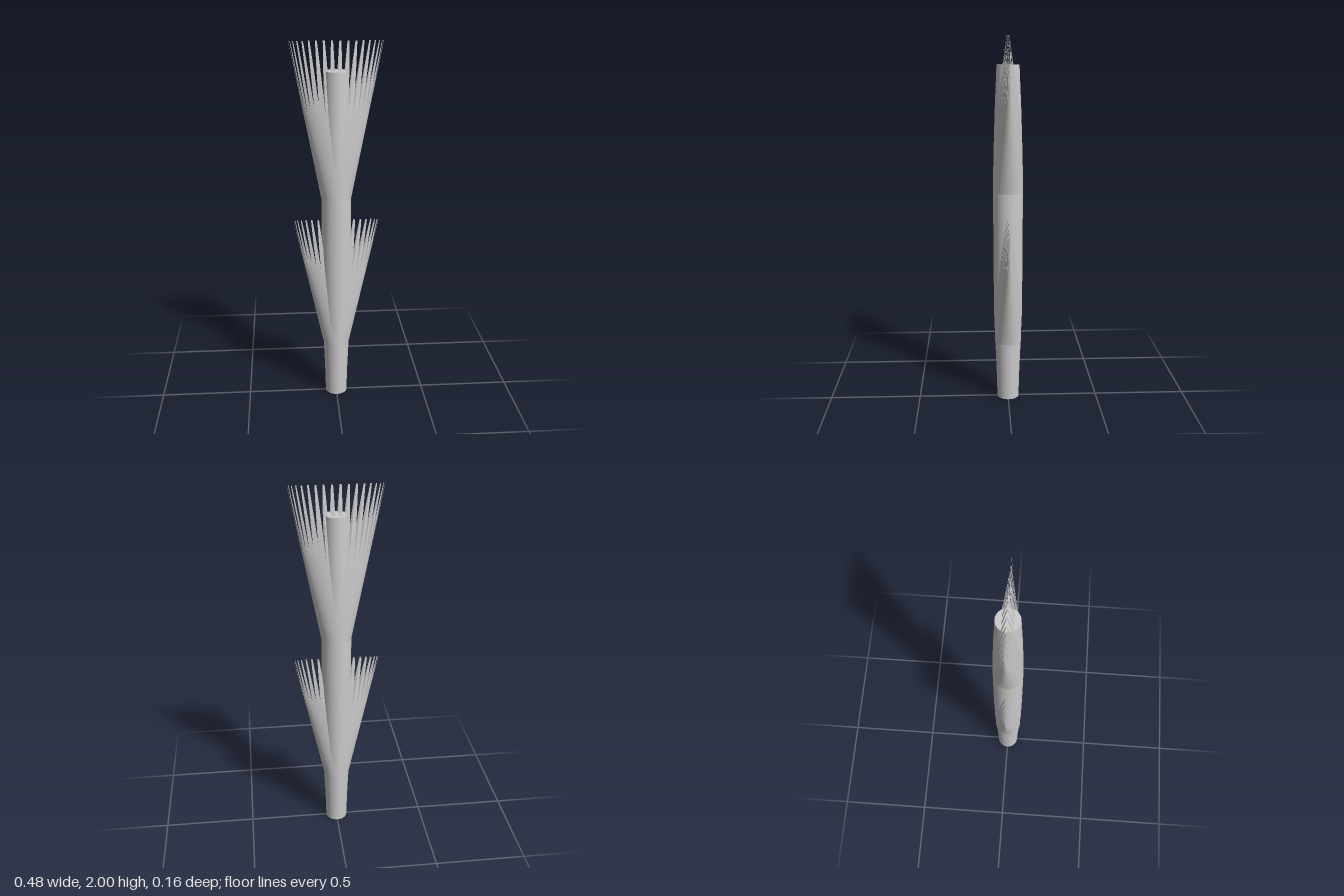
import * as THREE from 'three';
import { mergeVertices } from 'three/addons/utils/BufferGeometryUtils.js';

const grey = new THREE.MeshStandardMaterial({ color: 0xcccccc, side: THREE.DoubleSide });

// Sleeve that is round at its base, flattens and widens upward, and splits into tines
function flaredSleeve({ y0, y1, r, spread, endDepth, slit }) {
  const tines = 36, rows = 24, cols = 2;
  const pos = [], index = [];
  for (let i = 0; i < tines; i++) {
    const centre = (i + 0.5) * 2 * Math.PI / tines;
    const start = pos.length / 3;
    for (let j = 0; j <= rows; j++) {
      const t = j / rows;
      const a = r + (spread - r) * t;
      const b = r + (endDepth - r) * t * t;
      const taper = 1 - 0.75 * Math.max(0, (t - slit) / (1 - slit));
      for (let k = 0; k <= cols; k++) {
        const angle = centre + (k / cols * 2 - 1) * taper * Math.PI / tines;
        pos.push(a * Math.cos(angle), y0 + (y1 - y0) * t, b * Math.sin(angle));
      }
    }
    for (let j = 0; j < rows; j++) {
      for (let k = 0; k < cols; k++) {
        const p = start + j * (cols + 1) + k, up = p + cols + 1;
        index.push(p, up, p + 1, up, up + 1, p + 1);
      }
    }
  }
  const geo = new THREE.BufferGeometry();
  geo.setAttribute('position', new THREE.Float32BufferAttribute(pos, 3));
  geo.setIndex(index);
  const merged = mergeVertices(geo, 1e-5);
  merged.computeVertexNormals();
  return merged;
}

export function createModel() {
  const group = new THREE.Group();
  const add = (name, geometry) => {
    const mesh = new THREE.Mesh(geometry, grey);
    mesh.name = name;
    group.add(mesh);
    return mesh;
  };

  // Slightly swollen central stem
  const profile = [
    [0.06, 0], [0.064, 0.15], [0.071, 0.32], [0.077, 0.48], [0.079, 0.7],
    [0.08, 0.95], [0.08, 1.2], [0.077, 1.4], [0.07, 1.62], [0.06, 1.85],
  ].map(([x, y]) => new THREE.Vector2(x, y));
  add('stem', new THREE.LatheGeometry(profile, 36));

  // End caps
  for (const [name, y, turn] of [['stemTop', 1.85, -1], ['stemBottom', 0, 1]]) {
    const cap = add(name, new THREE.CircleGeometry(0.06, 36));
    cap.rotation.x = turn * Math.PI / 2;
    cap.position.y = y;
  }

  // Two tiers of split leaf sleeves
  add('lowerLeaves', flaredSleeve({ y0: 0.33, y1: 1.05, r: 0.074, spread: 0.23, endDepth: 0.01, slit: 0.6 }));
  add('upperLeaves', flaredSleeve({ y0: 1.18, y1: 2, r: 0.081, spread: 0.24, endDepth: 0.001, slit: 0.55 }));

  return group;
}
